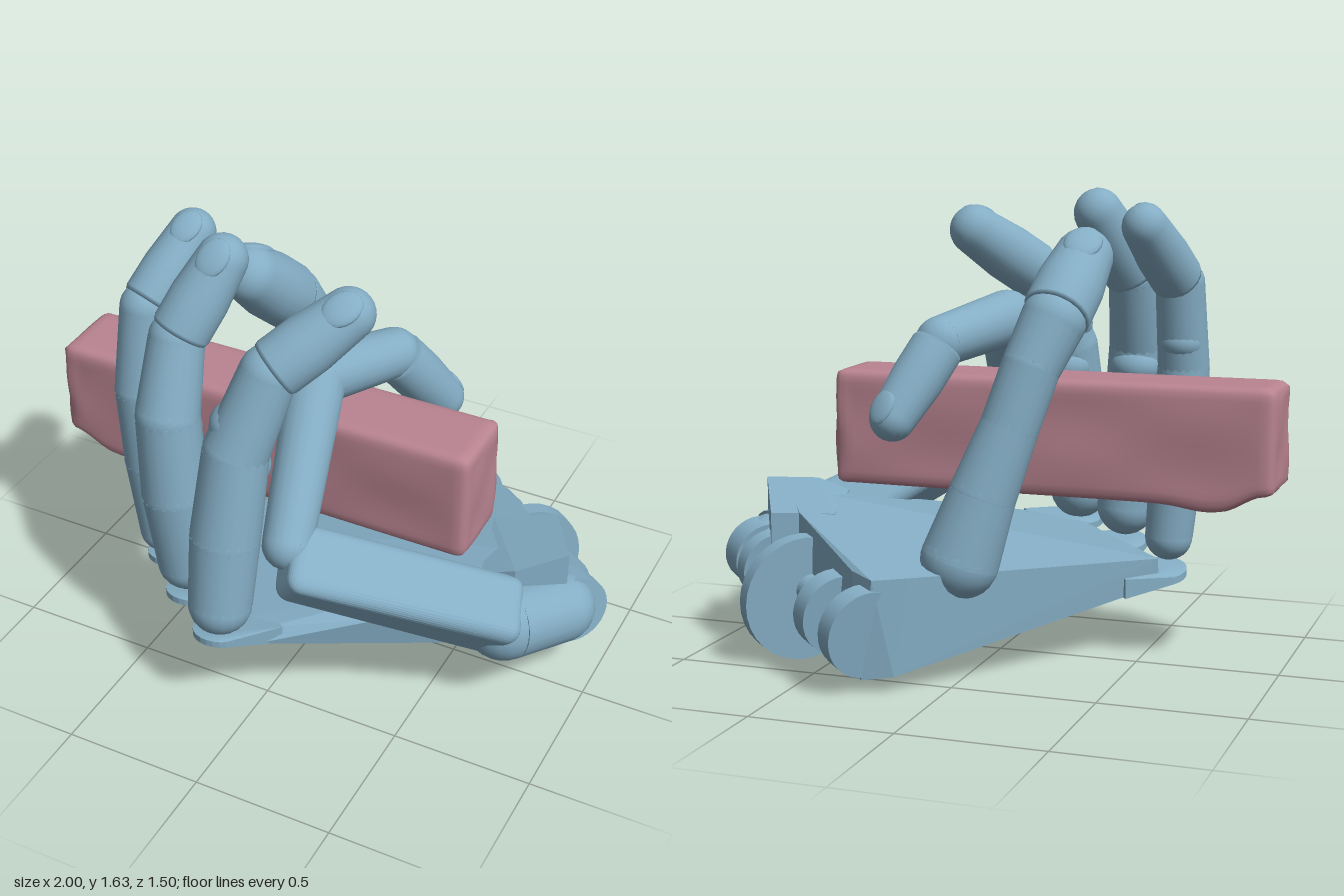
import * as THREE from 'three';
import { mergeVertices } from 'three/addons/utils/BufferGeometryUtils.js';
import { ConvexGeometry } from 'three/addons/geometries/ConvexGeometry.js';
import { RoundedBoxGeometry } from 'three/addons/geometries/RoundedBoxGeometry.js';

const V = (p) => new THREE.Vector3(...p);
const UP = new THREE.Vector3(0, 1, 0);
const blue = new THREE.MeshStandardMaterial({ color: 0x84adc4 });
const blueFlat = new THREE.MeshStandardMaterial({ color: 0x84adc4, flatShading: true });
const pink = new THREE.MeshStandardMaterial({ color: 0xb98491 });

function add(parent, name, geometry, material = blue) {
  const mesh = new THREE.Mesh(geometry, material);
  mesh.name = name;
  parent.add(mesh);
  return mesh;
}

// Turn a mesh so its y axis runs along dir and its z axis leans towards face
function orient(mesh, dir, face) {
  const y = dir.clone().normalize();
  const x = new THREE.Vector3().crossVectors(y, face).normalize();
  const z = new THREE.Vector3().crossVectors(x, y);
  mesh.quaternion.setFromRotationMatrix(new THREE.Matrix4().makeBasis(x, y, z));
  return mesh;
}

// Tapered link between two joints
function link(parent, name, a, b, ra, rb, face) {
  const dir = b.clone().sub(a);
  const mesh = add(parent, name, new THREE.CylinderGeometry(rb, ra, dir.length(), 20));
  mesh.position.copy(a).lerp(b, 0.5);
  return orient(mesh, dir, face);
}

function ball(parent, name, p, r) {
  const mesh = add(parent, name, new THREE.SphereGeometry(r, 20, 14));
  mesh.position.copy(p);
  return mesh;
}

// Fingertip: a cuffed, round-ended shell with a nail on the back
function fingertip(parent, a, b, r, face) {
  const tip = new THREE.Group();
  tip.name = 'fingertip';
  tip.position.copy(a);
  orient(tip, b.clone().sub(a), face);
  parent.add(tip);
  const len = a.distanceTo(b);
  const pts = [[0, 0.02], [r * 0.95, 0.02], [r, 0.035], [r, len * 0.4]];
  const r2 = r * 0.86;
  for (let i = 0; i <= 7; i++) {
    const t = (i / 7) * Math.PI / 2;
    pts.push([r2 * Math.cos(t), len - r2 + r2 * Math.sin(t)]);
  }
  add(tip, 'tipShell', new THREE.LatheGeometry(pts.map((p) => new THREE.Vector2(...p)), 22));
  const nail = add(tip, 'nail', new THREE.SphereGeometry(1, 16, 10));
  nail.scale.set(r * 0.55, r * 0.7, r * 0.2);
  nail.position.set(0, len - r * 0.9, r * 0.7);
  nail.rotation.x = -0.18;
}

// A digit runs through its joints [x, y, z, radius] and ends in a fingertip
function digit(parent, name, joints, face) {
  const g = new THREE.Group();
  g.name = name;
  parent.add(g);
  const f = V(face);
  const p = joints.map((j) => V(j.slice(0, 3)));
  const last = joints.length - 1;
  for (let i = 0; i < last; i++) {
    ball(g, 'joint', p[i], joints[i][3]);
    if (i < last - 1) link(g, 'phalanx', p[i], p[i + 1], joints[i][3], joints[i + 1][3], f);
  }
  fingertip(g, p[last - 1], p[last], joints[last - 1][3] * 1.06, f);
  return g;
}

// Plate standing across the hinge axis
function hingePlate(parent, name, x, y, z, r, width, axis) {
  const mesh = add(parent, name, new THREE.CylinderGeometry(r, r, width, 32));
  mesh.position.set(x, y, z);
  return orient(mesh, axis, UP);
}

export function createModel() {
  const model = new THREE.Group();
  const floorAt = (z) => 0.19 + 0.23 * z;

  // Held bar: rounded edges with a slightly lumpy surface
  const half = V([0.79, 0.205, 0.145]);
  const bar = new THREE.BoxGeometry(half.x * 2, half.y * 2, half.z * 2, 60, 18, 14);
  bar.deleteAttribute('uv');
  bar.deleteAttribute('normal');
  const barGeo = mergeVertices(bar);
  const pos = barGeo.attributes.position;
  const v = new THREE.Vector3(), inner = new THREE.Vector3(), round = 0.035;
  const limit = half.clone().subScalar(round);
  for (let i = 0; i < pos.count; i++) {
    v.fromBufferAttribute(pos, i);
    inner.copy(v).clamp(limit.clone().negate(), limit);
    v.sub(inner).normalize().multiplyScalar(round + 0.004 * Math.sin(v.x * 13 + inner.y * 19) * Math.cos(inner.z * 23 + inner.x * 7)).add(inner);
    // The underside rises at the far end
    if (v.y < 0) v.y += 0.045 * THREE.MathUtils.smoothstep(-v.x, 0.62, 0.76) * (-v.y / half.y);
    if (v.y < 0) v.y -= 0.02 * Math.exp(-(((v.x + 0.56) / 0.1) ** 2)) * (-v.y / half.y);
    pos.setXYZ(i, v.x, v.y, v.z);
  }
  barGeo.computeVertexNormals();
  add(model, 'heldBar', barGeo, pink).position.set(-0.195, 0.785, 0.045);

  // Palm: a wedge, thick at the wrist and thin at the knuckles
  const palm = new THREE.Group();
  palm.name = 'palm';
  model.add(palm);
  const outline = [[-0.53, 0.18], [-0.1, 0.61], [0.03, 0.63], [0.33, 0.4], [0.75, 0.1], [0.87, -0.05], [0.33, -0.57], [0.26, -0.65], [0.16, -0.61], [0.04, -0.46]];
  const rim = outline.map(([x, z]) => V([x, floorAt(z), z]));
  const top = [[-0.53, 0.33, 0.17], [-0.1, 0.36, 0.6], [0.05, 0.38, 0.58], [0.4, 0.4, 0.38], [0.72, 0.52, 0.06],
    [0.8, 0.54, -0.04], [0.66, 0.5, -0.26], [0.32, 0.39, -0.58], [0.22, 0.38, -0.65], [0.12, 0.38, -0.58], [0.05, 0.37, -0.42]].map(V);
  add(palm, 'palmBody', new ConvexGeometry([...rim, ...top]), blueFlat);

  // Side block that carries the folding digit
  const block = [[0.64, 0.13, 0.51], [0.76, 0.12, 0.55], [0.9, -0.02, 0.57], [0.75, -0.3, 0.5], [0.55, -0.2, 0.49]];
  add(palm, 'sideBlock', new ConvexGeometry(block.flatMap(([x, z, y]) =>
    [V([x, floorAt(z) + 0.01, z]), V([x, y, z])])), blueFlat);

  // Thin rounded lips under the three knuckles
  for (const [x, z] of [[-0.52, 0.26], [-0.32, 0.46], [-0.1, 0.645]]) {
    const pts = [];
    for (let i = 0; i <= 12; i++) {
      const t = -Math.PI / 4 + (i / 12) * Math.PI;
      const px = x - 0.09 * Math.sin(t), pz = z + 0.09 * Math.cos(t);
      pts.push(V([px, floorAt(pz), pz]), V([px, floorAt(pz) + 0.025, pz]));
    }
    for (const s of [-0.09, 0.09]) {
      const px = x + 0.14 + s * 0.7, pz = z - 0.14 + s * 0.7;
      pts.push(V([px, floorAt(pz), pz]), V([px, floorAt(pz) + 0.07, pz]));
    }
    add(palm, 'knuckleLip', new ConvexGeometry(pts), blueFlat);
  }

  // Wrist hinge: lugs, central disc and pins, all on one axis
  const wrist = new THREE.Group();
  wrist.name = 'wristHinge';
  model.add(wrist);
  const axis = V([0.67, 0.12, 0.57]);
  hingePlate(wrist, 'centreDisc', 0.615, 0.22, -0.34, 0.22, 0.06, V([0.72, 0.06, 0.66]));
  for (const [x, y, z, r, w] of [[0.26, 0.2, -0.62, 0.15, 0.08], [0.42, 0.22, -0.49, 0.14, 0.08],
    [0.8, 0.28, -0.18, 0.13, 0.06], [0.89, 0.3, -0.09, 0.125, 0.1]]) {
    hingePlate(wrist, 'hingeLug', x, y, z, r, w, axis);
  }
  link(wrist, 'hingePin', V([0.27, 0.2, -0.6]), V([0.89, 0.3, -0.09]), 0.055, 0.055, UP);

  // Three upright fingers
  const fingers = [
    ['outerFinger', [[-0.54, 0.39, 0.28, 0.085], [-0.565, 0.7, 0.29, 0.095], [-0.58, 1.0, 0.3, 0.092], [-0.575, 1.3, 0.25, 0.087], [-0.48, 1.56, -0.01, 0]]],
    ['middleFinger', [[-0.33, 0.45, 0.46, 0.105], [-0.355, 0.75, 0.475, 0.115], [-0.375, 1.05, 0.46, 0.11], [-0.38, 1.3, 0.37, 0.095], [-0.26, 1.61, 0.17, 0]]],
    ['innerFinger', [[-0.1, 0.47, 0.63, 0.11], [-0.1, 0.72, 0.58, 0.12], [-0.085, 1.03, 0.515, 0.112], [-0.01, 1.3, 0.42, 0.098], [0.235, 1.52, 0.18, 0]]],
  ];
  for (const [name, joints] of fingers) {
    const g = digit(model, name, joints, [0.1, 0.7, 0.7]);
    // Soft pads on the gripping side, either side of the middle joint
    for (const s of [-0.07, 0.09]) {
      const [x, y, z, r] = joints[2];
      const pad = ball(g, 'gripPad', V([x, y + s, z - 0.03]), r * 0.9);
      pad.scale.set(1, 0.8, 1);
    }
  }

  // Thumb rising from a ball on the back edge of the palm
  digit(model, 'thumb', [[0.02, 0.4, -0.36, 0.135], [-0.05, 0.62, -0.33, 0.115], [-0.13, 0.85, -0.285, 0.1],
    [-0.19, 1.05, -0.24, 0.1], [-0.245, 1.2, -0.17, 0.112], [-0.3, 1.465, 0.115, 0]], [-0.2, 0.7, -0.6]);

  // Folding digit: boxy base link, then a finger reaching back over the bar
  const fold = digit(model, 'foldingDigit', [[0.13, 0.76, 0.57, 0.085], [0.04, 1.165, 0.18, 0.1],
    [0.17, 1.11, -0.14, 0.088], [0.31, 0.8, -0.35, 0]], [0.3, 0.6, -0.7]);
  const a = V([0.76, 0.37, 0.15]), b = V([0.14, 0.73, 0.61]);
  const len = a.distanceTo(b);
  const baseGeo = new RoundedBoxGeometry(0.24, len, 0.22, 4, 0.05);
  // The base link thins towards its far end
  const bp = baseGeo.attributes.position;
  for (let i = 0; i < bp.count; i++) bp.setZ(i, bp.getZ(i) * (0.92 - 0.4 * bp.getY(i) / len));
  baseGeo.computeVertexNormals();
  const base = add(fold, 'baseLink', baseGeo);
  base.position.copy(a).lerp(b, 0.5);
  orient(base, b.clone().sub(a), V([0.25, 0.75, 0.4]));
  ball(fold, 'pivotBall', V([0.74, 0.35, 0.15]), 0.14);
  link(fold, 'pivotBarrel', V([0.75, 0.35, 0.15]), V([0.87, 0.32, -0.04]), 0.135, 0.13, UP);
  ball(fold, 'pivotCap', V([0.865, 0.31, -0.05]), 0.13);

  return model;
}
